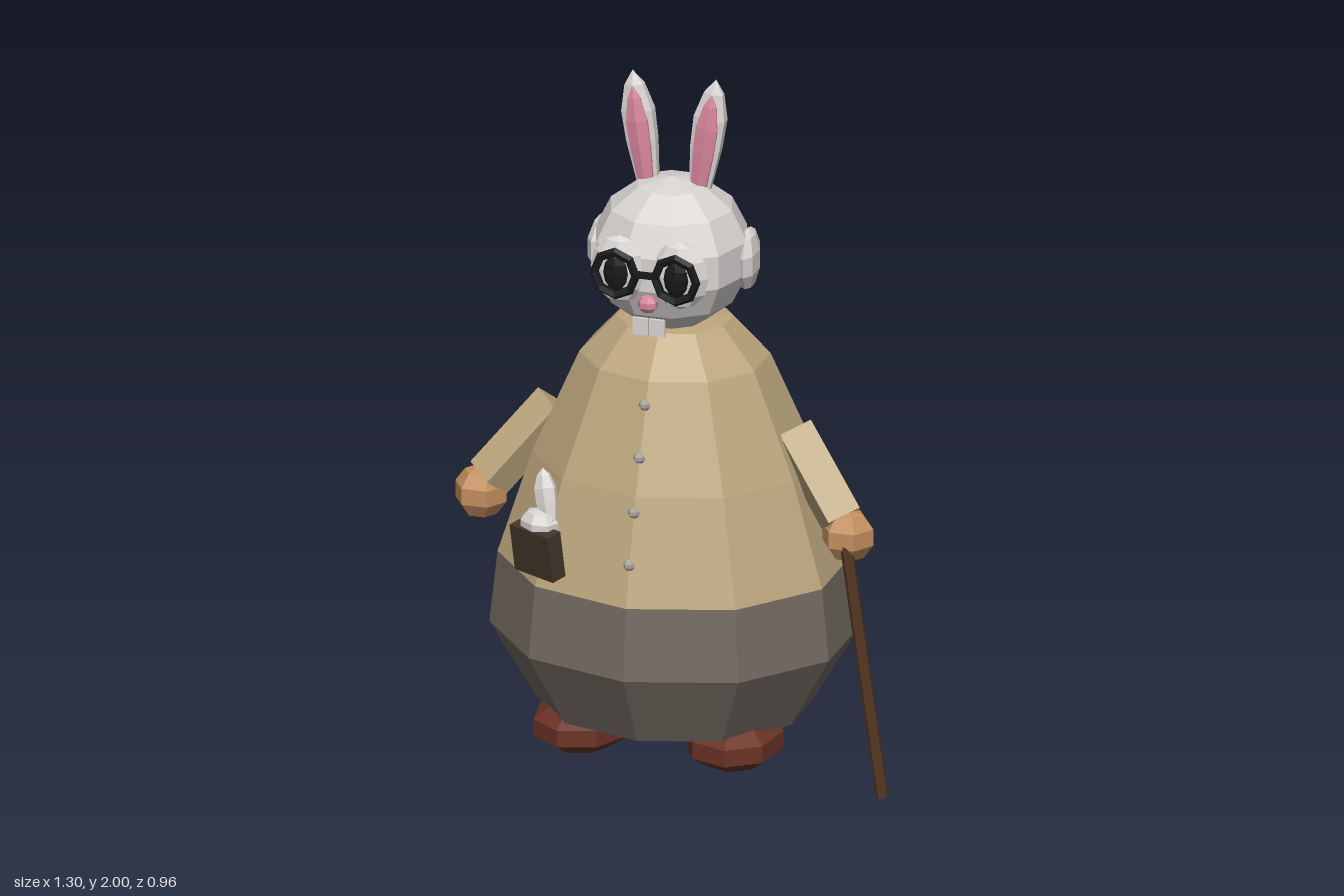
import * as THREE from 'three';

const mat = (color) => new THREE.MeshStandardMaterial({ color, flatShading: true });
const fur = mat(0xd8d4d2), coat = mat(0xbca67d), trousers = mat(0x746b62), skin = mat(0xc48f5e);
const leather = mat(0x6b3325), wood = mat(0x50331f), pouch = mat(0x43362a), pink = mat(0xd8869c);
const black = mat(0x17181a), metal = mat(0xaaa59c);

function add(parent, name, geometry, material, x = 0, y = 0, z = 0) {
  const mesh = new THREE.Mesh(geometry, material);
  mesh.name = name;
  mesh.position.set(x, y, z);
  parent.add(mesh);
  return mesh;
}

// Low-poly ellipsoid
const ball = (rx, ry, rz, w = 8, h = 6) => new THREE.SphereGeometry(1, w, h).scale(rx, ry, rz);

// Faceted shape turned from [radius, height] pairs listed bottom to top
const turned = (pairs, sides) =>
  new THREE.LatheGeometry(pairs.map(([r, y]) => new THREE.Vector2(r, y)), sides);

// Geometry of height 1 along y, stretched between two points
function between(parent, name, geometry, material, a, b) {
  const p = new THREE.Vector3(...a), d = new THREE.Vector3(...b).sub(p);
  const mesh = add(parent, name, geometry, material);
  mesh.position.copy(p).addScaledVector(d, 0.5);
  mesh.scale.y = d.length();
  mesh.quaternion.setFromUnitVectors(new THREE.Vector3(0, 1, 0), d.normalize());
  return mesh;
}

// Pointed long ear, 1 unit high and centred
const longEar = (r, depth) => turned(
  [[0, -0.5], [r * 0.65, -0.48], [r * 0.95, -0.1], [r, 0.16], [r * 0.6, 0.38], [0, 0.5]], 6
).scale(1, 1, depth);

export function createModel() {
  const model = new THREE.Group();
  model.name = 'rabbitFigure';
  const figure = new THREE.Group();
  figure.name = 'figure';
  figure.position.x = -0.043;
  model.add(figure);

  // Barrel-shaped body: trousers below, coat above
  const depth = 0.895;
  add(figure, 'trousers', turned([[0, 0.14], [0.39, 0.14], [0.52, 0.36], [0.497, 0.57]], 10)
    .scale(1, 1, depth), trousers, 0, 0, -0.015);
  add(figure, 'coat', turned([[0.497, 0.57], [0.4, 0.87], [0.268, 1.17], [0.165, 1.28], [0, 1.3]], 10)
    .scale(1, 1, depth), coat, 0, 0, -0.015);

  // Coat buttons
  [[1.115, 0.26], [0.975, 0.308], [0.83, 0.358], [0.69, 0.402]].forEach(([y, z]) =>
    add(figure, 'button', ball(0.017, 0.017, 0.014, 6, 5), metal, 0, y, z));

  // Head, nose and teeth
  add(figure, 'head', ball(0.226, 0.22, 0.226, 10, 7), fur, 0, 1.487, 0.015);
  add(figure, 'nose', ball(0.03, 0.027, 0.025, 7, 5), pink, 0, 1.405, 0.23);
  for (const s of [-1, 1]) {
    add(figure, 'tooth', new THREE.BoxGeometry(0.045, 0.05, 0.01), fur, s * 0.024, 1.333, 0.22);
  }
  add(figure, 'glassesBridge', new THREE.BoxGeometry(0.06, 0.016, 0.016), black, 0, 1.5, 0.256);

  for (const s of [-1, 1]) {
    // Eyes with thick round glasses
    add(figure, 'eye', ball(0.084, 0.1, 0.036), fur, s * 0.088, 1.495, 0.214);
    add(figure, 'brow', ball(0.025, 0.018, 0.018, 6, 4), fur, s * 0.07, 1.553, 0.178);
    add(figure, 'pupil', ball(0.036, 0.052, 0.014), black, s * 0.088, 1.495, 0.249);
    const rim = add(figure, 'glassesRim', new THREE.TorusGeometry(0.06, 0.013, 5, 8),
      black, s * 0.088, 1.495, 0.254);
    rim.scale.y = 1.06;

    // Side ears
    const side = add(figure, 'sideEar', ball(0.035, 0.09, 0.092, 8, 5), fur, s * 0.208, 1.47, -0.03);
    side.rotation.y = s * 0.15;

    // Long ears with pink inner faces
    between(figure, 'longEar', longEar(0.052, 0.6), fur, [s * 0.074, 1.66, -0.01], [s * 0.122, 2, -0.01]);
    between(figure, 'innerEar', longEar(0.036, 0.5), pink, [s * 0.074, 1.66, 0.008], [s * 0.116, 1.96, 0.008]);

    // Arms and hands
    between(figure, 'arm', new THREE.BoxGeometry(0.09, 1, 0.1), coat,
      [s * 0.345, 0.975, -0.01], [s * 0.515, 0.765, 0.075]);
    add(figure, 'hand', ball(0.078, 0.078, 0.072, 6, 5), skin, s * 0.535, 0.725, 0.08);

    // Shoes
    const shoe = add(figure, 'shoe', ball(0.145, 0.08, 0.185, 8, 5), leather, s * 0.218, 0.1, 0.122);
    shoe.rotation.y = s * 0.15;
  }

  // Walking stick held in the left hand
  between(model, 'walkingStick', new THREE.CylinderGeometry(0.018, 0.018, 1, 8), wood,
    [0.497, 0.73, 0.12], [0.632, 0.006, 0.205]);

  // Pocket with a small furry passenger
  const pocket = add(model, 'pocket', new THREE.BoxGeometry(0.15, 0.14, 0.05), pouch, -0.305, 0.708, 0.415);
  pocket.rotation.set(0.15, -0.48, 0, 'YXZ');
  const pet = add(model, 'petHead', ball(0.065, 0.05, 0.048, 7, 5), fur, -0.305, 0.778, 0.4);
  pet.rotation.y = -0.48;
  between(model, 'petEar', longEar(0.034, 0.6), fur, [-0.272, 0.78, 0.405], [-0.303, 0.94, 0.375]);
  between(model, 'petFoldedEar', longEar(0.03, 0.6), fur, [-0.26, 0.79, 0.42], [-0.345, 0.8, 0.385]);

  return model;
}
